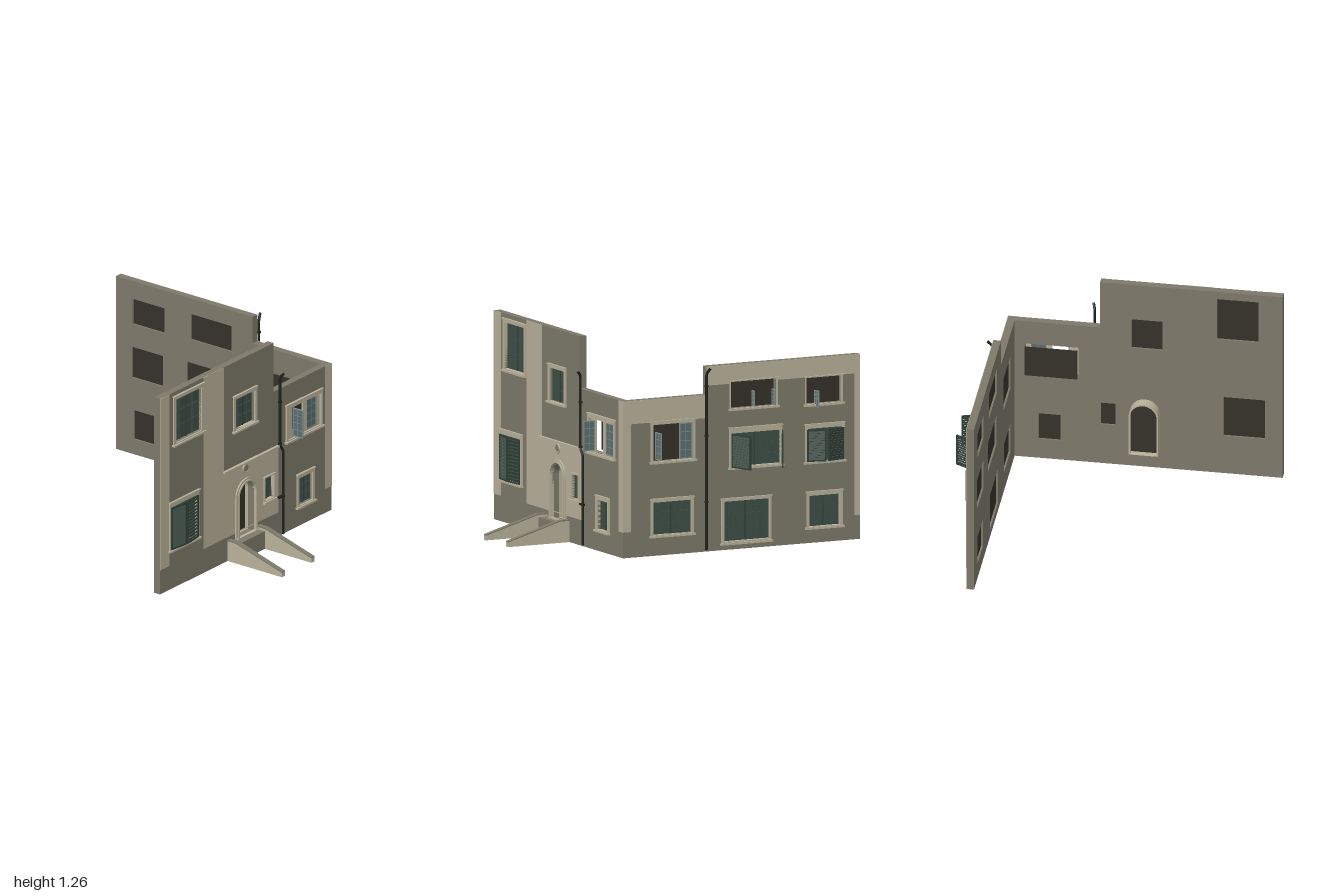
import * as THREE from 'three';

const mat = (name, color, side = THREE.FrontSide) => {
  const m = new THREE.MeshStandardMaterial({ color, side });
  m.name = name;
  return m;
};

export function createModel() {
  const wallM = mat('darkPlaster', 0x7d796a);
  const trimM = mat('lightPlaster', 0xb9b19a);
  const glassM = mat('greenGlass', 0x3f4f46);
  const barM = mat('windowBars', 0x34433b);
  const shutterM = mat('shutterGreen', 0x2f4039);
  const metalM = mat('blackMetal', 0x20221f);
  const darkM = mat('darkInterior', 0x35322b, THREE.DoubleSide);
  const blueM = mat('blueGlass', 0x5a6e72);
  const sashM = mat('paleSash', 0x83938c);

  const model = new THREE.Group();
  model.name = 'buildingCorner';

  const add = (parent, name, geo, m) => {
    const mesh = new THREE.Mesh(geo, m);
    mesh.name = name;
    parent.add(mesh);
    return mesh;
  };
  // box given by its limits
  const box = (p, name, m, x0, x1, y0, y1, z0, z1) => {
    const b = add(p, name, new THREE.BoxGeometry(x1 - x0, y1 - y0, z1 - z0), m);
    b.position.set((x0 + x1) / 2, (y0 + y1) / 2, (z0 + z1) / 2);
    return b;
  };
  const poly = (pts) => new THREE.Shape(pts.map(([x, y]) => new THREE.Vector2(x, y)));
  const rect = (x0, x1, y0, y1) => poly([[x0, y0], [x1, y0], [x1, y1], [x0, y1]]);
  const arch = (x0, x1, y0, top) => {
    const r = (x1 - x0) / 2;
    const s = new THREE.Shape();
    s.moveTo(x0, y0);
    s.lineTo(x1, y0);
    s.lineTo(x1, top - r);
    s.absarc((x0 + x1) / 2, top - r, r, 0, Math.PI, false);
    s.closePath();
    return s;
  };
  const slab = (p, name, m, shape, holes, z0, z1) => {
    shape.holes = holes;
    const g = new THREE.ExtrudeGeometry(shape, { depth: z1 - z0, bevelEnabled: false, curveSegments: 16 });
    g.translate(0, 0, z0);
    return add(p, name, g, m);
  };

  // raised surround with a sill and a lintel; face is the wall surface
  const surround = (p, face, [x0, x1, y0, y1], [a0, a1, b0, b1]) => {
    slab(p, 'windowSurround', trimM, rect(a0, a1, b0, b1), [rect(x0, x1, y0, y1)], face - 0.02, face + 0.01);
    box(p, 'windowSill', trimM, a0 - 0.008, a1 + 0.008, b0 - 0.006, b0 + 0.006, face, face + 0.02);
    box(p, 'windowLintel', trimM, a0 - 0.004, a1 + 0.004, b1 - 0.008, b1, face, face + 0.015);
  };
  // closed casement with glazing bars
  const glazing = (p, face, [x0, x1, y0, y1], cols = 4) => {
    const z = face - 0.02;
    box(p, 'windowGlass', glassM, x0, x1, y0, y1, z - 0.006, z);
    for (let i = 0; i <= cols; i++) {
      const x = x0 + (x1 - x0) * i / cols;
      const w = i === cols / 2 ? 0.004 : 0.002;
      box(p, 'glazingBar', i === cols / 2 ? barM : glassM, x - w, x + w, y0, y1, z, z + 0.006);
    }
    for (let j = 1; j < 3; j++) {
      const y = y0 + (y1 - y0) * j / 3;
      box(p, 'glazingBar', glassM, x0, x1, y - 0.002, y + 0.002, z, z + 0.005);
    }
  };
  // hinged leaf running from its hinge, swung outwards by an angle in degrees
  const leaf = (p, name, u, z, deg, w, y0, y1, louvred) => {
    const g = new THREE.Group();
    g.name = name;
    g.position.set(u, 0, z);
    g.rotation.y = -deg * Math.PI / 180;
    p.add(g);
    const m = louvred ? shutterM : sashM;
    const b = louvred ? 0.01 : 0.005;
    const t = 0.004;
    slab(g, 'leafFrame', m, rect(0, w, y0, y1), [rect(b, w - b, y0 + b, y1 - b)], -t, t);
    if (louvred) {
      const n = 12;
      for (let i = 0; i < n; i++) {
        const s = box(g, 'louvre', glassM, b, w - b, -0.009, 0.009, -0.0015, 0.0015);
        s.position.y = y0 + b + (y1 - y0 - 2 * b) * (i + 0.5) / n;
        s.rotation.x = -0.45;
      }
    } else {
      box(g, 'pane', blueM, b, w - b, y0 + b, y1 - b, -0.0015, 0.0015);
      box(g, 'paneBar', sashM, w / 2 - 0.0015, w / 2 + 0.0015, y0, y1, -0.003, 0.003);
      for (let j = 1; j < 4; j++) {
        const y = y0 + (y1 - y0) * j / 4;
        box(g, 'paneBar', sashM, 0, w, y - 0.0015, y + 0.0015, -0.003, 0.003);
      }
    }
  };

  // windows: opening, surround, and whether they are glazed
  const FF = 0.59, SF = 0.75;
  const frontWindows = [
    { o: [-0.765, -0.515, 0.93, 1.21], s: [-0.785, -0.493, 0.918, 1.235], glass: 4 },
    { o: [-0.185, 0.0, 0.82, 1.02], s: [-0.205, 0.02, 0.812, 1.045], glass: 4 },
    { o: [-0.805, -0.555, 0.26, 0.53], s: [-0.825, -0.538, 0.248, 0.562], glass: 4 },
    { o: [0.098, 0.185, 0.27, 0.42], s: [0.09, 0.193, 0.26, 0.428], glass: 2 },
    { o: [0.43, 0.56, 0.132, 0.31], s: [0.41, 0.58, 0.122, 0.338], glass: 4 },
    { o: [0.32, 0.64, 0.59, 0.79], s: [0.306, 0.655, 0.578, 0.82], glass: 0 },
  ];
  // side wall uses u = -z
  const sideWindows = [
    { o: [-0.39, -0.125, 0.568, 0.79], s: [-0.405, -0.11, 0.56, 0.812], glass: 0 },
    { o: [-0.39, -0.135, 0.125, 0.322], s: [-0.405, -0.12, 0.115, 0.345], glass: 4 },
    { o: [0.13, 0.435, 0.85, 1.015], s: [0.125, 0.445, 0.843, 1.02], glass: 0 },
    { o: [0.135, 0.465, 0.498, 0.7], s: [0.122, 0.475, 0.488, 0.735], glass: 4 },
    { o: [0.085, 0.39, 0.05, 0.292], s: [0.068, 0.4, 0.036, 0.312], glass: 4 },
    { o: [0.635, 0.875, 0.838, 1.0], s: [0.63, 0.882, 0.83, 1.006], glass: 0 },
    { o: [0.645, 0.88, 0.492, 0.69], s: [0.63, 0.893, 0.483, 0.718], glass: 4 },
    { o: [0.655, 0.865, 0.098, 0.285], s: [0.64, 0.88, 0.088, 0.312], glass: 4 },
  ];
  const holesOf = (list) => list.map((w) => rect(...w.o));
  const fit = (p, face, list) => list.forEach((w) => {
    surround(p, face, w.o, w.s);
    if (w.glass) glazing(p, face, w.o, w.glass);
    const [x0, x1, y0, y1] = w.o;
    const back = p.name === 'frontFacade' && !w.glass ? 0.51 : face - 0.032;
    box(p, 'darkBacking', darkM, x0, x1, y0, y1, back - 0.001, back + 0.001);
  });

  // front facade
  const front = new THREE.Group();
  front.name = 'frontFacade';
  model.add(front);
  const doorHole = () => arch(-0.16, 0.0, 0.115, 0.458);
  slab(front, 'frontWall', wallM,
    poly([[-0.91, 0], [0.75, 0], [0.75, 0.945], [0.19, 0.945], [0.19, 1.26], [-0.91, 1.26]]),
    [...holesOf(frontWindows), arch(-0.16, 0.0, 0.115, 0.458)], 0.545, FF);
  fit(front, FF, frontWindows);
  const paint = (p, face, x0, x1, y0, y1, holes = []) =>
    slab(p, 'lightPaint', trimM, rect(x0, x1, y0, y1), holes, face, face + 0.003);
  paint(front, FF, -0.91, -0.82, 0.155, 1.26);
  paint(front, FF, -0.49, -0.295, 0.155, 1.26);
  paint(front, FF, -0.295, 0.235, 0.155, 0.583,
    [arch(-0.16, 0.0, 0.16, 0.458), rect(...frontWindows[3].o)]);
  paint(front, FF, 0.695, 0.753, 0.155, 0.945);
  box(front, 'cornice', trimM, -0.305, 0.225, 0.58, 0.591, FF, 0.61);

  // door surround, passage behind it and the round ornament
  slab(front, 'doorSurround', trimM, arch(-0.185, 0.022, 0.115, 0.482), [doorHole()], FF - 0.01, FF + 0.012);
  slab(front, 'doorMoulding', trimM, arch(-0.172, 0.01, 0.115, 0.469), [doorHole()], FF, FF + 0.018);
  slab(front, 'doorPassage', trimM, arch(-0.17, 0.008, 0.115, 0.468), [doorHole()], 0.48, 0.546);
  slab(front, 'doorPanel', darkM, doorHole(), [], 0.52, 0.523);
  const ring = add(front, 'ornamentRing', new THREE.TorusGeometry(0.026, 0.006, 8, 24), trimM);
  ring.position.set(-0.085, 0.545, FF + 0.004);
  const disc = add(front, 'ornamentDisc', new THREE.CylinderGeometry(0.02, 0.02, 0.012, 24), wallM);
  disc.rotation.x = Math.PI / 2;
  disc.position.copy(ring.position);

  // landing and sloping parapets
  box(front, 'landing', wallM, -0.225, 0.03, 0, 0.113, FF, 0.65);
  box(front, 'doorStep', trimM, -0.18, 0.015, 0.113, 0.122, FF, 0.612);
  for (const x of [-0.255, 0.03]) {
    const side = (name, m, pts, x0, w) => {
      const g = slab(front, name, m, poly(pts), [], 0, w);
      g.rotation.y = -Math.PI / 2;
      g.position.x = x0 + w;
    };
    side('parapet', trimM, [[FF, 0], [1, 0], [1, 0.028], [0.65, 0.128], [FF, 0.128]], x, 0.03);
    side('parapetCap', wallM, [[FF, 0.128], [0.65, 0.128], [1, 0.028], [1, 0.034], [0.65, 0.135], [FF, 0.135]], x - 0.001, 0.032);
  }

  // front shutters and casements
  leaf(front, 'leftShutter', -0.815, 0.603, 6, 0.128, 0.258, 0.53, true);
  leaf(front, 'rightShutter', -0.555, 0.603, 174, 0.128, 0.258, 0.53, true);
  for (const [a, b] of [[0.32, 0.378], [0.482, 0.517], [0.612, 0.64]])
    box(front, 'casementPost', trimM, a, b, 0.59, 0.79, 0.572, 0.586);
  leaf(front, 'closedCasement', 0.517, 0.58, 0, 0.095, 0.592, 0.785, false);
  leaf(front, 'openCasement', 0.382, 0.59, 90, 0.073, 0.598, 0.78, false);

  // side facade, built facing forward and turned to face +x
  const side = new THREE.Group();
  side.name = 'sideFacade';
  side.rotation.y = Math.PI / 2;
  model.add(side);
  slab(side, 'sideWall', wallM,
    poly([[-0.545, 0], [1, 0], [1, 1.115], [-0.03, 1.115], [-0.03, 0.945], [-0.545, 0.945]]),
    holesOf(sideWindows), 0.705, SF);
  fit(side, SF, sideWindows);
  paint(side, SF, -0.59, -0.54, 0.155, 0.945);
  paint(side, SF, -0.54, -0.03, 0.805, 0.945);
  paint(side, SF, -0.03, 1, 1.02, 1.115);
  for (const [a, b] of [[-0.03, 0.125], [0.445, 0.63], [0.882, 0.965]]) paint(side, SF, a, b, 1.0, 1.02);
  paint(side, SF, 0.63, 0.882, 1.004, 1.02);
  paint(side, SF, 0.965, 1, 0.145, 1.02);

  // side casements and shutters
  leaf(side, 'closedCasement', -0.205, SF - 0.012, 0, 0.08, 0.57, 0.785, false);
  leaf(side, 'openCasement', -0.37, SF, 90, 0.07, 0.58, 0.745, false);
  leaf(side, 'openCasement', 0.275, SF, 90, 0.035, 0.855, 0.95, false);
  leaf(side, 'openCasement', 0.41, SF, 90, 0.035, 0.855, 0.95, false);
  leaf(side, 'openCasement', 0.695, SF, 82, 0.045, 0.82, 0.92, false);
  leaf(side, 'openShutter', 0.135, 0.76, 72, 0.158, 0.495, 0.7, true);
  leaf(side, 'openShutter', 0.475, 0.76, 117, 0.163, 0.495, 0.7, true);
  leaf(side, 'ajarShutter', 0.64, 0.764, 12, 0.118, 0.492, 0.685, true);
  leaf(side, 'ajarShutter', 0.885, 0.764, 168, 0.118, 0.492, 0.685, true);

  // drainpipes with brackets
  const pipe = (name, pts, brackets) => {
    const path = new THREE.CurvePath();
    const v = pts.map((p) => new THREE.Vector3(...p));
    for (let i = 1; i < v.length; i++) path.add(new THREE.LineCurve3(v[i - 1], v[i]));
    add(model, name, new THREE.TubeGeometry(path, 60, 0.008, 8, false), metalM);
    for (const [x, y, z] of brackets) {
      const b = add(model, 'pipeBracket', new THREE.CylinderGeometry(0.012, 0.012, 0.012, 10), metalM);
      b.position.set(x, y, z);
    }
  };
  pipe('frontDrainpipe',
    [[0.262, 0.01, 0.606], [0.262, 0.55, 0.606], [0.232, 0.59, 0.606], [0.232, 1.03, 0.606], [0.242, 1.06, 0.632]],
    [[0.262, 0.255, 0.606], [0.232, 0.6, 0.606], [0.232, 0.87, 0.606]]);
  pipe('sideDrainpipe',
    [[0.76, 0.01, 0.035], [0.76, 1.075, 0.035], [0.79, 1.11, 0.022]],
    [[0.76, 0.3, 0.035], [0.76, 0.7, 0.035], [0.76, 1.0, 0.035]]);
  box(model, 'pipeTap', metalM, 0.222, 0.262, 0.248, 0.26, 0.594, 0.61);

  return model;
}
